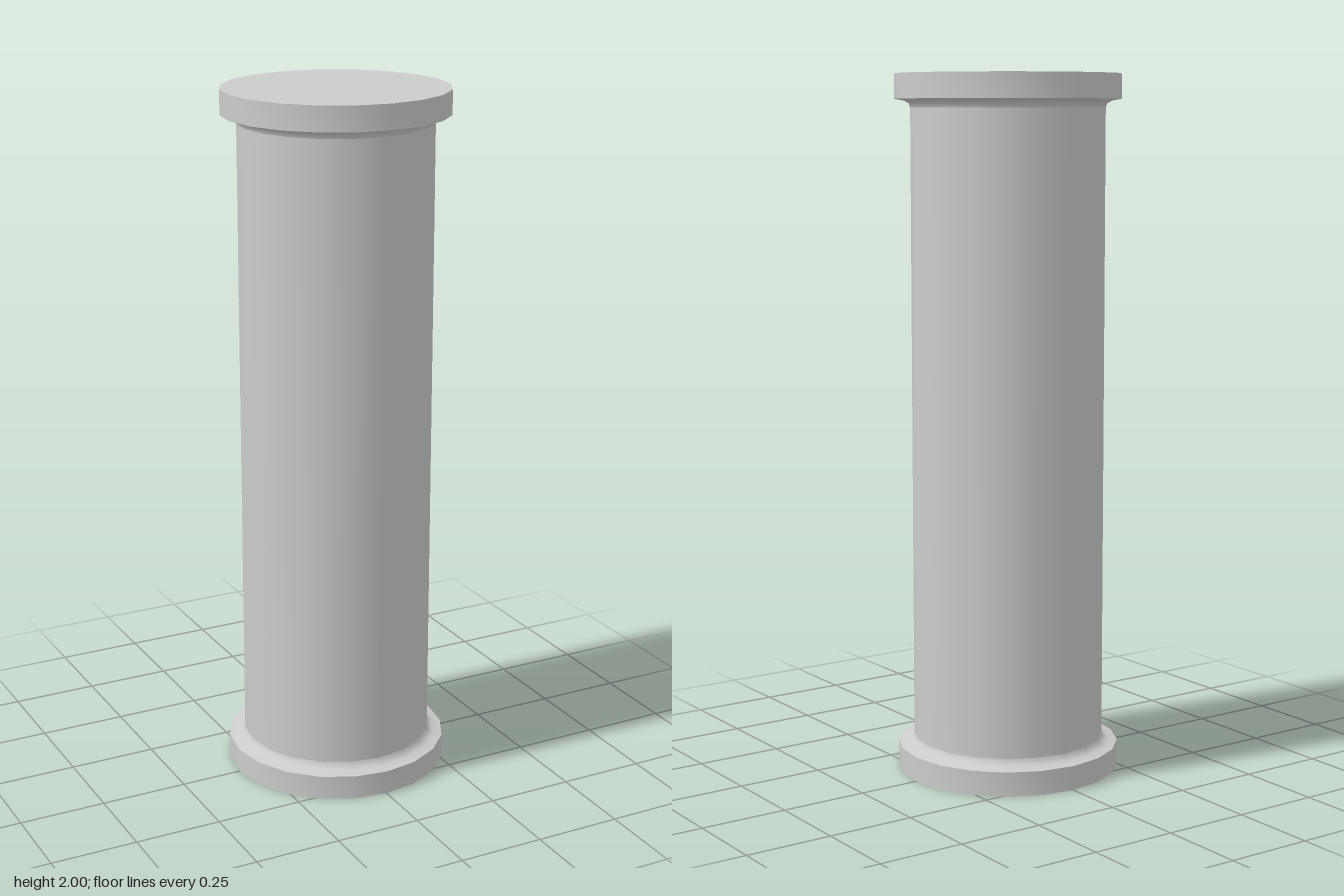
import * as THREE from 'three';
import { toCreasedNormals } from 'three/addons/utils/BufferGeometryUtils.js';

const SIDES = 20;
const HEIGHT = 2;
const SHAFT_RADIUS = 0.275;
const FLANGE_RADIUS = 0.32;
const FLANGE_EDGE = 0.07;
const FLANGE_TOP = 0.095;

export function createModel() {
  const group = new THREE.Group();
  group.name = 'column';
  const material = new THREE.MeshStandardMaterial({ color: 0xcccccc });

  // Smooth shaft between the two flanges
  const length = HEIGHT - 2 * FLANGE_TOP;
  const shaft = new THREE.Mesh(
    new THREE.CylinderGeometry(SHAFT_RADIUS, SHAFT_RADIUS, length, SIDES, 1, true),
    material
  );
  shaft.name = 'shaft';
  shaft.position.y = HEIGHT / 2;
  group.add(shaft);

  // Flange: flat end, straight rim and a small cove running into the shaft
  const profile = [
    [0, 0],
    [FLANGE_RADIUS, 0],
    [FLANGE_RADIUS, FLANGE_EDGE],
    [0.293, 0.075],
    [0.279, 0.083],
    [SHAFT_RADIUS, FLANGE_TOP],
  ].map(([r, y]) => new THREE.Vector2(r, y));
  const flangeGeometry = toCreasedNormals(new THREE.LatheGeometry(profile, SIDES), 0.85);

  const baseFlange = new THREE.Mesh(flangeGeometry, material);
  baseFlange.name = 'baseFlange';
  group.add(baseFlange);

  // The same flange turned over at the top
  const topFlange = new THREE.Mesh(flangeGeometry, material);
  topFlange.name = 'topFlange';
  topFlange.rotation.x = Math.PI;
  topFlange.position.y = HEIGHT;
  group.add(topFlange);

  return group;
}
